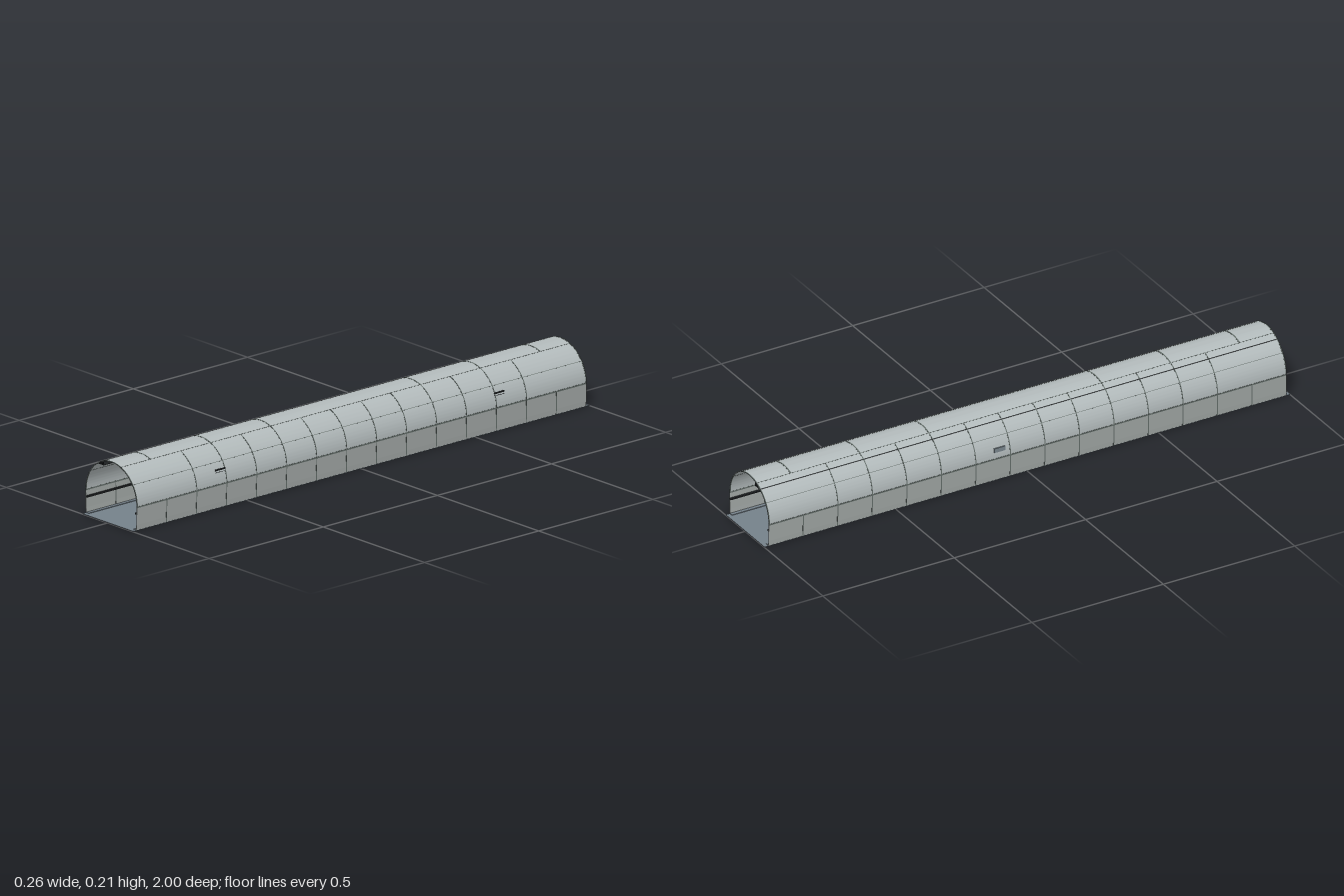
import * as THREE from 'three';
import { toCreasedNormals } from 'three/addons/utils/BufferGeometryUtils.js';

const mat = (name, color) => {
  const m = new THREE.MeshStandardMaterial({ color });
  m.name = name;
  return m;
};

const R = 0.127, SPRING = 0.081, HALF = 0.985, STEP = (2 * HALF) / 15;

export function createModel() {
  const lining = mat('lining grey', 0xb3bbbc);
  const wallGrey = mat('wall grey', 0xa3a9a7);
  const seam = mat('seam grey', 0x66706c);
  const floorGrey = mat('floor blue grey', 0x75818a);
  const dark = mat('dark metal', 0x25282a);
  const cabinetGrey = mat('cabinet grey', 0x7c8890);

  const model = new THREE.Group();
  model.name = 'tunnel';

  function add(name, geometry, material, x = 0, y = 0, z = 0) {
    const mesh = new THREE.Mesh(geometry, material);
    mesh.name = name;
    mesh.position.set(x, y, z);
    model.add(mesh);
    return mesh;
  }
  const box = (name, material, w, h, d, x, y, z) =>
    add(name, new THREE.BoxGeometry(w, h, d), material, x, y, z);

  // Closed arc outline between two angles, swept along z
  function arch(name, material, a0, a1, rIn, rOut, z, depth) {
    const shape = new THREE.Shape();
    shape.absarc(0, SPRING, rOut, a0, a1, false);
    shape.absarc(0, SPRING, rIn, a1, a0, true);
    const g = new THREE.ExtrudeGeometry(shape, { depth, bevelEnabled: false, curveSegments: 40 });
    return add(name, toCreasedNormals(g, 0.6), material, 0, 0, z - depth / 2);
  }

  // Slightly battered side wall, swept along z
  function wall(name, material, side, inset, outset, z, depth) {
    const shape = new THREE.Shape([[0.1245, 0.002], [0.1255, 0.02], [R, SPRING]]
      .map(([x, y]) => new THREE.Vector2(side * (x + outset), y))
      .concat([[R, SPRING], [0.1255, 0.02], [0.1245, 0.002]]
        .map(([x, y]) => new THREE.Vector2(side * (x - inset), y))));
    const g = new THREE.ExtrudeGeometry(shape, { depth, bevelEnabled: false });
    return add(name, g, material, 0, 0, z - depth / 2);
  }

  // Floor slab and main lining
  box('floor', floorGrey, 0.25, 0.002, 2, 0, 0.001, 0);
  arch('archLining', lining, 0, Math.PI, R - 0.0015, R, 0, 2 * HALF);

  for (const side of [-1, 1]) {
    wall('sideWall', wallGrey, side, 0.0015, 0, 0, 2 * HALF);
    box('kerb', floorGrey, 0.014, 0.002, 2 * HALF, side * 0.117, 0.003, 0);
    box('springSeam', seam, 0.0026, 0.005, 2 * HALF, side * (R - 0.0006), SPRING, 0);
    box('sideDuct', dark, 0.008, 0.005, 2 * HALF, side * 0.1212, 0.058, 0);

    // Upright joints in the wall panels
    for (let i = 1; i < 15; i++) {
      wall('wallSeam', seam, side, 0.002, 0.0005, -HALF + i * STEP, 0.0035);
    }
  }

  // Ring joints: flanks on the inner rings, crown on the staggered ones
  for (let i = 2; i < 14; i++) {
    const z = -HALF + i * STEP;
    arch('flankSeam', seam, 0, 1.2, R - 0.002, R + 0.0005, z, 0.0035);
    arch('flankSeam', seam, Math.PI - 1.2, Math.PI, R - 0.002, R + 0.0005, z, 0.0035);
  }
  for (const i of [1, 3, 5, 10, 12, 14]) {
    arch('crownSeam', seam, 1.2, Math.PI - 1.2, R - 0.002, R + 0.0005, -HALF + i * STEP, 0.005);
  }
  // Lengthwise joints of the arch panels
  for (const a of [0.6, 1.2, Math.PI - 1.2, Math.PI - 0.6]) {
    arch('lengthSeam', seam, a - 0.006, a + 0.006, R - 0.002, R + 0.0004, 0, 2 * HALF);
  }
  // Portal rims
  for (const end of [-1, 1]) {
    arch('portalRim', seam, 0, Math.PI, R - 0.002, R + 0.0005, end * (HALF - 0.002), 0.004);
  }

  // Cable tray under the crown
  box('trayBase', dark, 0.033, 0.0018, 2 * HALF, -0.0535, 0.187, 0);
  box('traySide', dark, 0.0015, 0.015, 2 * HALF, -0.0375, 0.1935, 0);
  for (let i = 0; i < 4; i++) {
    box('cable', dark, 0.002, 0.002, 2 * HALF, -0.061 + i * 0.006, 0.1895, 0);
  }

  // Wall cabinet and two signs
  box('cabinet', cabinetGrey, 0.011, 0.048, 0.042, -0.1195, 0.095, -0.105);
  box('cabinetDoor', dark, 0.003, 0.044, 0.038, -0.1126, 0.095, -0.105);
  for (const z of [-0.61, 0.612]) {
    const sign = box('wallSign', dark, 0.005, 0.024, 0.044, 0.116, 0.12, z);
    sign.rotation.z = 0.1;
    for (let i = 0; i < 3; i++) {
      box('signSlat', dark, 0.009, 0.003, 0.044, 0.116, 0.113 + i * 0.008, z);
    }
  }
  return model;
}
